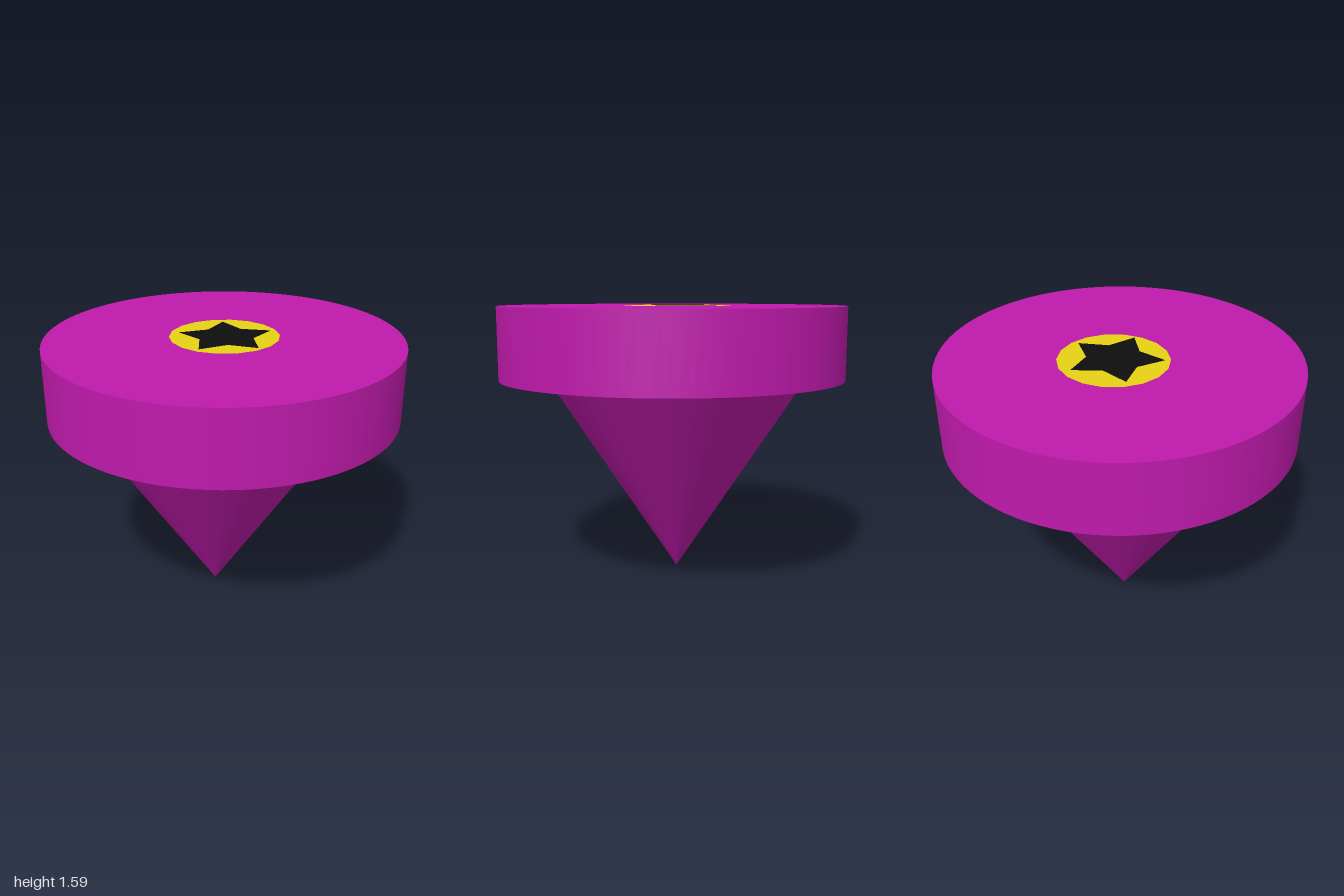
import * as THREE from 'three';

const TOP = 1.583;   // upper face of the cap
const RIM = 1.167;   // lower face of the cap

function part(name, geometry, color, x, y, z) {
  const mesh = new THREE.Mesh(geometry, new THREE.MeshStandardMaterial({ color }));
  mesh.name = name;
  mesh.position.set(x, y, z);
  return mesh;
}

// Five-pointed star outline, first point up
function starShape(outer, inner, turn) {
  const points = [];
  for (let i = 0; i < 10; i++) {
    const r = i % 2 ? inner : outer;
    const a = Math.PI / 2 + turn + (i * Math.PI) / 5;
    points.push(new THREE.Vector2(r * Math.cos(a), r * Math.sin(a)));
  }
  return new THREE.Shape(points);
}

export function createModel() {
  const model = new THREE.Group();
  model.name = 'spinningTop';

  // Wide flat cap
  const cap = new THREE.CylinderGeometry(1, 1, TOP - RIM, 96);
  model.add(part('cap', cap, 0xc01aac, 0, (TOP + RIM) / 2, 0));

  // Pointed body, tip down, slightly off the cap's axis
  const cone = new THREE.CylinderGeometry(0.76, 0, RIM, 96, 16, true);
  model.add(part('cone', cone, 0xc01aac, -0.055, RIM / 2, 0));

  // Thin badge and star lying on the cap
  const badge = new THREE.CircleGeometry(0.31, 18).rotateX(-Math.PI / 2);
  model.add(part('badge', badge, 0xe6d214, 0.005, TOP + 0.002, -0.037));

  const star = new THREE.ShapeGeometry(starShape(0.273, 0.157, 0.015)).rotateX(-Math.PI / 2);
  model.add(part('star', star, 0x0e0e0e, 0.012, TOP + 0.004, -0.025));

  return model;
}
